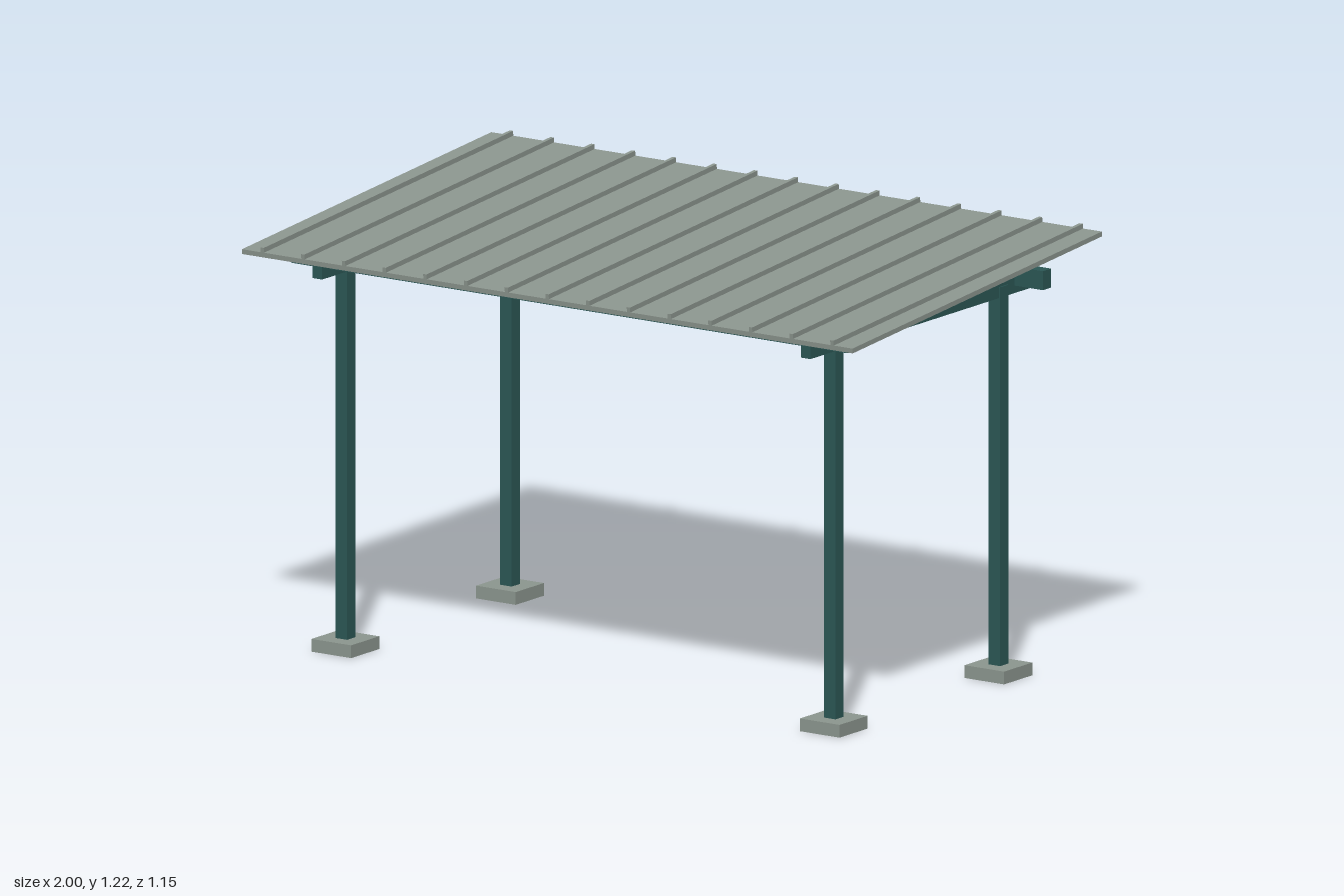
import * as THREE from 'three';

const steel = new THREE.MeshStandardMaterial({ color: 0x2b5755 });
steel.name = 'green painted steel';
const grey = new THREE.MeshStandardMaterial({ color: 0x8c968f });
grey.name = 'pale grey';

// Adds a named box centred at x, y, z
function box(parent, name, material, size, position) {
  const mesh = new THREE.Mesh(new THREE.BoxGeometry(...size), material);
  mesh.name = name;
  mesh.position.set(...position);
  parent.add(mesh);
  return mesh;
}

export function createModel() {
  const model = new THREE.Group();
  model.name = 'carport';

  for (const side of [-1, 1]) {
    const sideName = side > 0 ? 'left' : 'right';
    const x = side * 0.8;

    // Posts standing on square footings
    for (const end of [-1, 1]) {
      const name = (end > 0 ? 'front' : 'back') + (side > 0 ? 'Left' : 'Right');
      const z = end * 0.38;
      box(model, name + 'Footing', grey, [0.13, 0.035, 0.13], [x, 0.0175, z]);
      box(model, name + 'Post', steel, [0.038, 1.04, 0.038], [x, 0.555, z]);
    }

    // Beam across the top of each pair of posts
    box(model, sideName + 'Beam', steel, [0.032, 0.05, 1.02], [x, 1.07, 0]);
  }

  // Long purlins that carry the roof
  box(model, 'frontPurlin', steel, [1.82, 0.043, 0.038], [0, 1.0885, 0.455]);
  box(model, 'backPurlin', steel, [1.82, 0.052, 0.038], [0, 1.092, -0.45]);

  // Sloping roof of fifteen panels, each with a standing rib
  const roof = new THREE.Group();
  roof.name = 'roof';
  roof.position.y = 1.1615;
  roof.rotation.x = Math.atan(0.0867);
  const count = 15, width = 2 / count, length = 1.156;
  for (let i = 0; i < count; i++) {
    const x = (i - (count - 1) / 2) * width;
    box(roof, 'roofPanel', grey, [width, 0.0135, length], [x, -0.00675, 0]);
    box(roof, 'roofRib', grey, [0.011, 0.0135, length], [x, 0.00675, 0]);
  }
  model.add(roof);

  return model;
}
